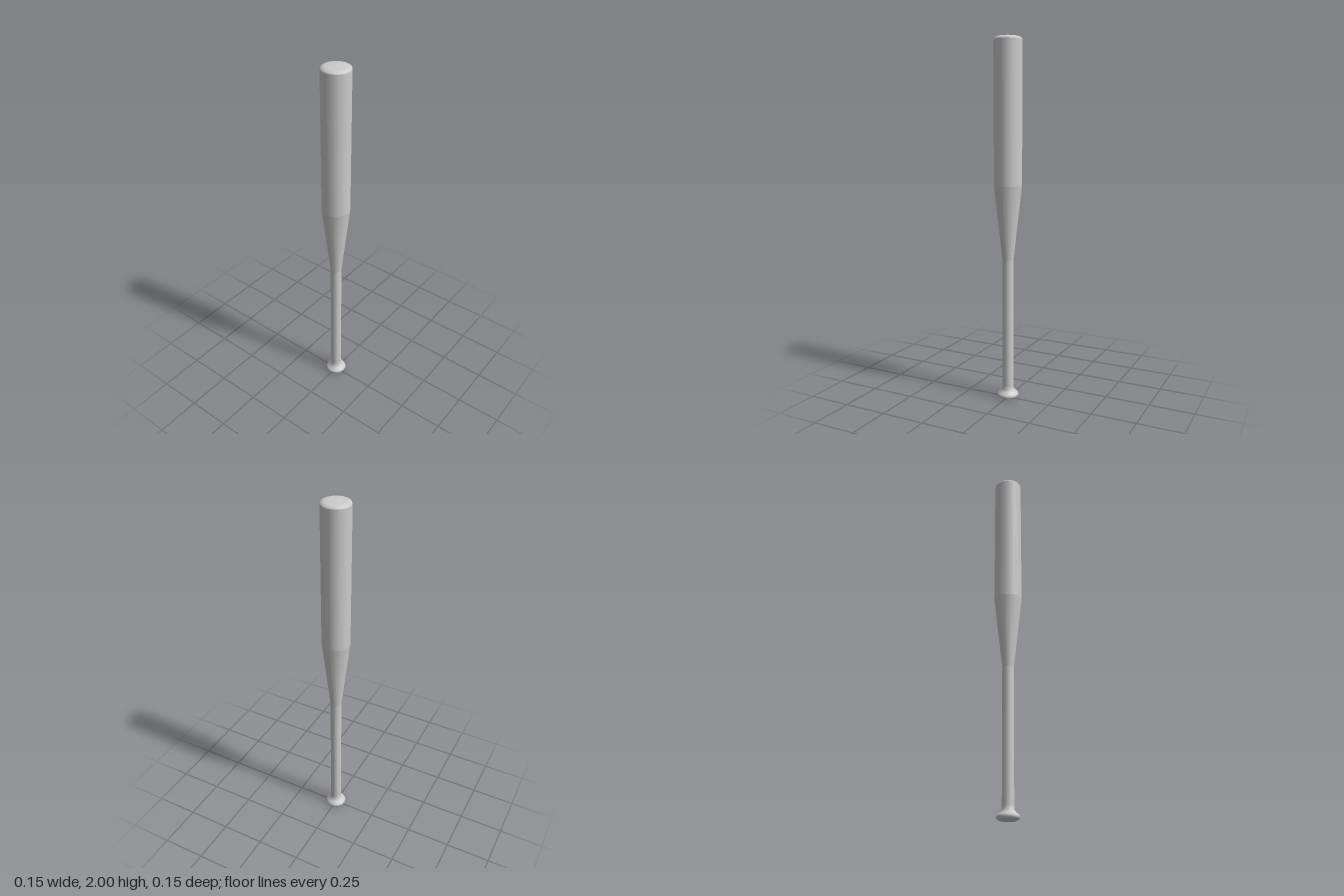
import * as THREE from 'three';

const SIDES = 16;
const material = new THREE.MeshStandardMaterial({ color: 0xcccccc });

// Turned part from [radius, height] pairs, listed from bottom to top
function turned(name, profile) {
  const points = profile.map(([r, y]) => new THREE.Vector2(r, y));
  const mesh = new THREE.Mesh(new THREE.LatheGeometry(points, SIDES), material);
  mesh.name = name;
  return mesh;
}

export function createModel() {
  const bat = new THREE.Group();
  bat.name = 'bat';

  // Flared knob at the foot, blending into the handle
  bat.add(turned('knob', [
    [0, 0], [0.043, 0.003], [0.056, 0.01], [0.061, 0.02],
    [0.056, 0.03], [0.04, 0.042], [0.033, 0.054], [0.031, 0.07],
  ]));

  // Straight grip
  bat.add(turned('handle', [[0.031, 0.07], [0.031, 0.8]]));

  // Cone widening from grip to barrel
  bat.add(turned('taper', [[0.031, 0.8], [0.077, 1.21]]));

  // Barrel
  bat.add(turned('barrel', [[0.077, 1.21], [0.077, 1.983]]));

  // Rounded end with a flat middle
  bat.add(turned('barrelEnd', [[0.077, 1.983], [0.073, 1.991], [0.056, 1.998], [0, 2]]));

  return bat;
}
